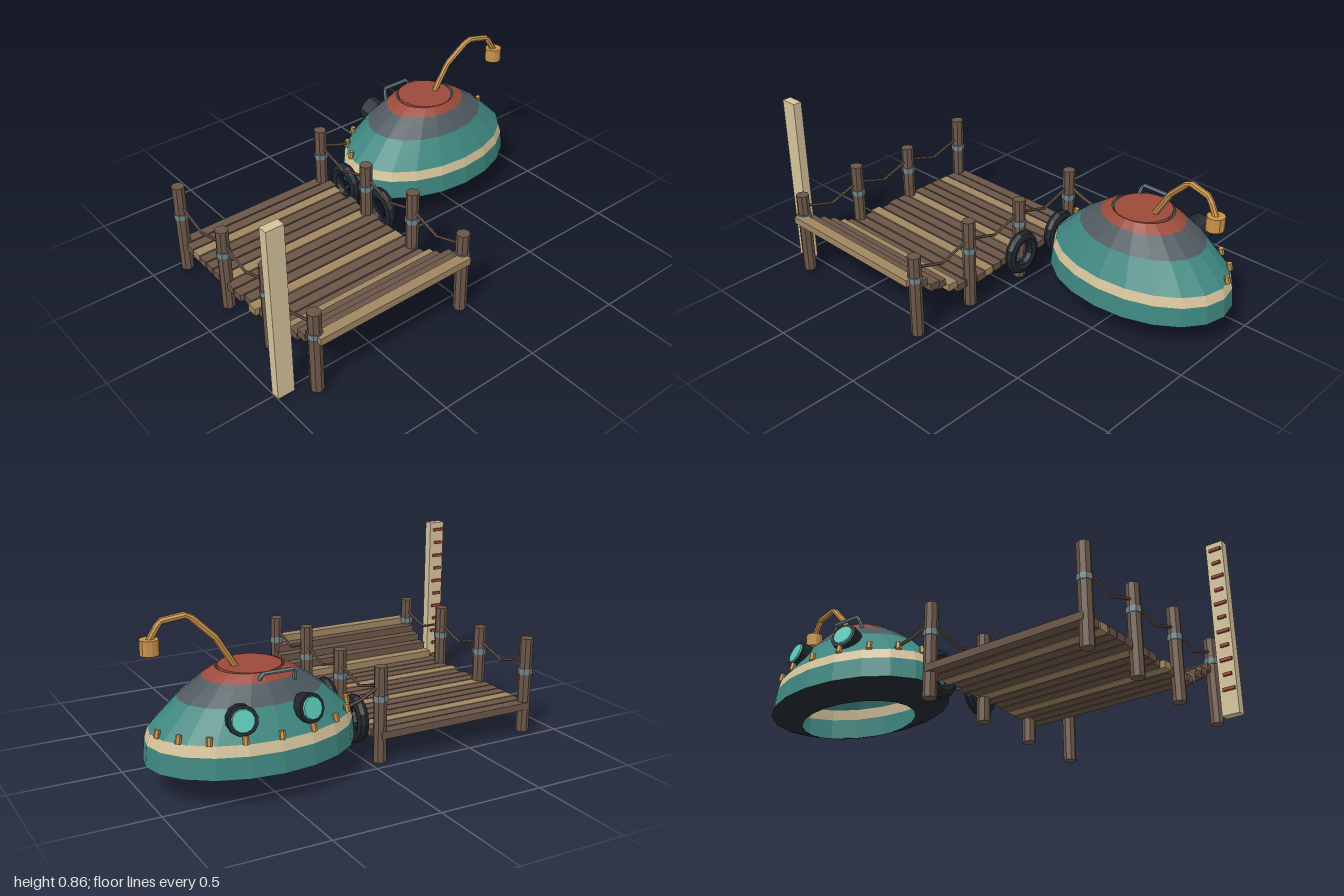
import * as THREE from 'three';

const mat = (name, color, side = THREE.FrontSide) => {
  const m = new THREE.MeshStandardMaterial({ color, side, flatShading: true });
  m.name = name;
  return m;
};

export function createModel() {
  const root = new THREE.Group();
  const D = THREE.DoubleSide;
  const wood = mat('dark wood', 0x6b5648);
  const paleWood = mat('pale wood', 0xa08662);
  const cream = mat('cream paint', 0xd6c49c, D);
  const teal = mat('teal paint', 0x3f8780, D);
  const slate = mat('slate paint', 0x4f5a60, D);
  const red = mat('red paint', 0x9c4a3a, D);
  const rubber = mat('black rubber', 0x20262d, D);
  const brass = mat('brass', 0xc8924a);
  const steel = mat('steel', 0x70858a);
  const glass = mat('glass', 0x5cc8b8);

  const add = (name, geo, material, x = 0, y = 0, z = 0, parent = root) => {
    const m = new THREE.Mesh(geo, material);
    m.name = name;
    m.position.set(x, y, z);
    parent.add(m);
    return m;
  };
  const V = (p) => new THREE.Vector3(...p);
  // Round bar through a list of corner points
  const bar = (name, pts, r, material, sides = 6) => {
    const path = new THREE.CurvePath();
    for (let i = 1; i < pts.length; i++) path.add(new THREE.LineCurve3(V(pts[i - 1]), V(pts[i])));
    return add(name, new THREE.TubeGeometry(path, (pts.length - 1) * 4, r, sides), material);
  };

  // Hull: oval bands stacked between rings of [y, radius x, radius z]
  const cx = 0.52, cz = -0.313;
  const rings = [
    [0.09, 0.305, 0.205], [0.147, 0.475, 0.331], [0.24, 0.466, 0.321], [0.287, 0.45, 0.309],
    [0.41, 0.32, 0.235], [0.487, 0.21, 0.168], [0.52, 0.15, 0.136],
  ];
  const bands = [
    ['hullBase', rubber], ['lowerHull', teal], ['hullStripe', cream],
    ['upperHull', teal], ['hullShoulder', slate], ['hatchCollar', red],
  ];
  bands.forEach(([name, material], i) => {
    const g = new THREE.CylinderGeometry(1, 1, 1, 20, 1, true);
    const p = g.attributes.position;
    for (let k = 0; k < p.count; k++) {
      const [y, rx, rz] = rings[p.getY(k) > 0 ? i + 1 : i];
      p.setXYZ(k, p.getX(k) * rx, y, p.getZ(k) * rz);
    }
    g.computeVertexNormals();
    add(name, g, material, cx, 0, cz);
  });
  add('hatch', new THREE.CylinderGeometry(0.136, 0.136, 0.014, 20), red, cx, 0.516, cz);
  bar('hatchHandle', [[0.38, 0.47, -0.452], [0.39, 0.525, -0.477], [0.54, 0.525, -0.477], [0.55, 0.47, -0.452]], 0.009, steel);

  // Rivets round the back half
  for (let a = 10; a <= 170; a += 20) {
    const t = THREE.MathUtils.degToRad(a);
    const rivet = add('rivet', new THREE.CylinderGeometry(0.013, 0.013, 0.036, 6), brass,
      cx - Math.cos(t) * 0.445, 0.305, cz - Math.sin(t) * 0.305);
    rivet.rotation.set(0.2 * Math.sin(t), 0, -0.2 * Math.cos(t));
  }

  // Portholes facing back, tipped upward
  for (const s of [-1, 1]) {
    const port = new THREE.Group();
    port.name = 'porthole';
    port.position.set(cx + s * 0.148, 0.373, -0.552);
    port.quaternion.setFromUnitVectors(new THREE.Vector3(0, 1, 0), new THREE.Vector3(s * 0.2, 0.25, -0.95).normalize());
    root.add(port);
    add('portholeRim', new THREE.CylinderGeometry(0.064, 0.066, 0.065, 12), rubber, 0, 0, 0, port);
    add('portholeGlass', new THREE.CylinderGeometry(0.047, 0.05, 0.009, 12), glass, 0, 0.036, 0, port);
  }

  // Periscope
  bar('periscopePipe', [[0.58, 0.51, -0.31], [0.665, 0.65, -0.305], [0.775, 0.758, -0.278],
    [0.89, 0.74, -0.261], [0.935, 0.66, -0.253]], 0.015, brass, 8);
  add('periscopeHead', new THREE.CylinderGeometry(0.041, 0.041, 0.066, 12), brass, 0.935, 0.637, -0.253);

  // Dock planks: flat at the back, stepping up at the front
  for (let i = 0; i < 19; i++) {
    const y = 0.145 + Math.max(0, 5 - i) * 0.0325;
    const w = 0.81 + (i % 3) * 0.012;
    add('plank', new THREE.BoxGeometry(w, 0.035, 0.052), i % 4 ? wood : paleWood,
      -0.438 + ((i * 7) % 5 - 2) * 0.004, y, 0.612 - i * 0.0593);
  }

  // Posts, collars and sagging ropes on both sides
  const postZ = [0.585, 0.25, -0.088, -0.45];
  const tops = { '-0.842': [0.43, 0.46, 0.44, 0.475], '-0.043': [0.43, 0.465, 0.44, 0.46] };
  for (const x of [-0.842, -0.043]) {
    postZ.forEach((z, i) => {
      const h = tops[x][i] - 0.015;
      add('post', new THREE.CylinderGeometry(0.031, 0.031, h, 8), wood, x, 0.015 + h / 2, z);
      add('postCollar', new THREE.CylinderGeometry(0.035, 0.035, 0.028, 8), steel, x, 0.315, z);
      if (i) {
        const z0 = postZ[i - 1];
        bar('rope', [[x, 0.37, z0], [x, 0.315, (z + z0) / 2], [x, 0.37, z]], 0.007, wood);
      }
    });
  }
  bar('mooringLine', [[-0.043, 0.375, -0.45], [0.06, 0.325, -0.458], [0.155, 0.3, -0.465]], 0.008, wood);

  // Tyre fenders
  for (const z of [-0.322, -0.046]) {
    const tyre = add('tyre', new THREE.TorusGeometry(0.074, 0.028, 8, 14), rubber, 0.012, 0.186, z);
    tyre.rotation.y = Math.PI / 2;
    tyre.scale.y = 1.12;
  }

  // Depth board with red marks on its back face
  add('depthBoard', new THREE.BoxGeometry(0.083, 0.855, 0.044), cream, -0.958, 0.4325, 0.506);
  for (let i = 0; i < 11; i++) {
    const w = i % 2 ? 0.04 : 0.058;
    add('depthMark', new THREE.BoxGeometry(w, 0.014, 0.012), red, -0.999 + 0.058 / 2 + 0.006, 0.122 + i * 0.07, 0.478);
  }
  return root;
}
